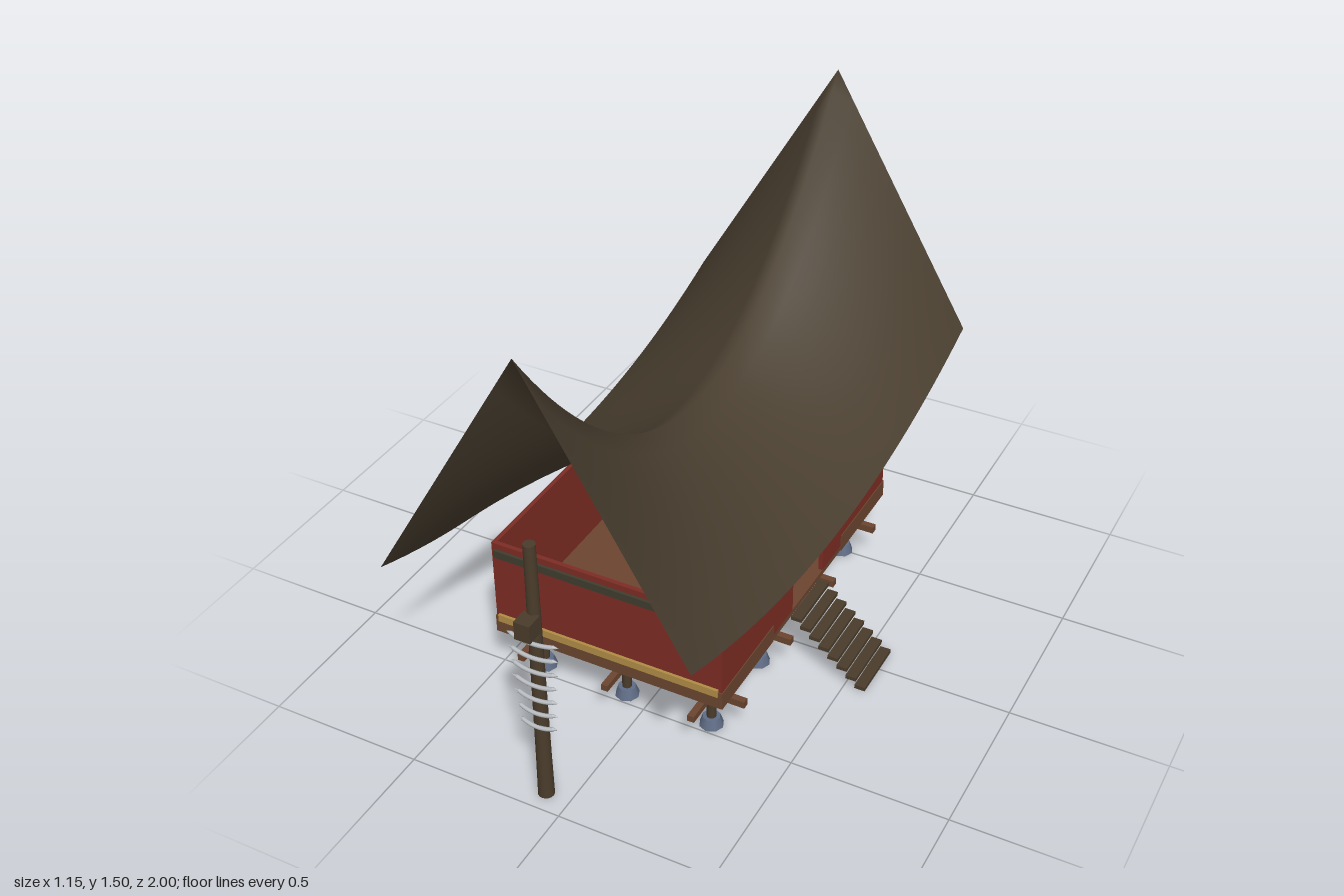
import * as THREE from 'three';

const mat = (name, color, side = THREE.FrontSide) => {
  const m = new THREE.MeshStandardMaterial({ color, side });
  m.name = name;
  return m;
};

export function createModel() {
  const thatch = mat('thatch', 0x4a3f30, THREE.DoubleSide);
  const red = mat('red wall', 0x7c2d24);
  const wood = mat('brown wood', 0x6b4530);
  const dark = mat('dark wood', 0x4a3c2b);
  const olive = mat('dark olive trim', 0x3f3d2e);
  const yellow = mat('ochre trim', 0xb08d45);
  const stone = mat('blue grey stone', 0x5f6c85);
  const horn = mat('pale horn', 0xb8bcc0);

  const model = new THREE.Group();
  model.name = 'stiltHouse';
  const group = (name) => {
    const g = new THREE.Group();
    g.name = name;
    model.add(g);
    return g;
  };
  const add = (parent, name, geo, material, x = 0, y = 0, z = 0) => {
    const m = new THREE.Mesh(geo, material);
    m.name = name;
    m.position.set(x, y, z);
    parent.add(m);
    return m;
  };
  // box given by its minimum and maximum corners
  const box = (parent, name, material, x0, x1, y0, y1, z0, z1) =>
    add(parent, name, new THREE.BoxGeometry(x1 - x0, y1 - y0, z1 - z0), material,
      (x0 + x1) / 2, (y0 + y1) / 2, (z0 + z1) / 2);

  const CX = -0.08, CZ = -0.02;
  const X0 = -0.465, X1 = 0.305, Z0 = -0.61, Z1 = 0.57;

  // Saddle roof: straight slopes between a curved ridge and curved eaves
  const roofGeo = new THREE.PlaneGeometry(2, 2, 16, 48);
  const p = roofGeo.attributes.position;
  for (let i = 0; i < p.count; i++) {
    const s = p.getX(i), t = -p.getY(i);
    const ridge = 0.805 + 0.695 * t * t;
    const eave = 0.49 + 0.175 * t * t;
    p.setXYZ(i, -0.0825 + 0.4925 * s, ridge + (eave - ridge) * Math.abs(s), -0.025 + 0.975 * t);
  }
  roofGeo.computeVertexNormals();
  add(model, 'roof', roofGeo, thatch);

  // Stilts on stone feet, tied by crossing beams
  const stilts = group('stilts');
  const xs = [-0.375, CX, 0.213], zs = [0.458, 0.139, -0.18, -0.5];
  const postGeo = new THREE.CylinderGeometry(0.015, 0.015, 0.165, 12);
  const footGeo = new THREE.CylinderGeometry(0.028, 0.039, 0.033, 8);
  for (const x of xs) {
    for (const z of zs) {
      add(stilts, 'post', postGeo, dark, x, 0.1125, z);
      add(stilts, 'foot', footGeo, stone, x, 0.0165, z);
    }
    box(stilts, 'lengthBeam', wood, x - 0.011, x + 0.011, 0.118, 0.14, -0.635, 0.592);
  }
  for (const z of zs) {
    box(stilts, 'crossBeam', wood, -0.49, 0.328, 0.117, 0.141, z - 0.011, z + 0.011);
  }

  // Open-topped room with a doorway on the left side
  const room = group('room');
  const T = 0.014, YB = 0.208, YT = 0.53, D0 = -0.13, D1 = 0.09;
  box(room, 'floor', wood, X0, X1, 0.19, YB, Z0, Z1);
  box(room, 'frontWall', red, X0, X1, YB, YT, Z1 - T, Z1);
  box(room, 'backWall', red, X0, X1, YB, YT, Z0, Z0 + T);
  box(room, 'rightWall', red, X0, X0 + T, YB, YT, Z0 + T, Z1 - T);
  box(room, 'leftWallBack', red, X1 - T, X1, YB, YT, Z0 + T, D0);
  box(room, 'leftWallFront', red, X1 - T, X1, YB, YT, D1, Z1 - T);
  box(room, 'lintel', yellow, X1 - T, X1, 0.482, YT, D0, D1);

  // Skirting and trim
  const S = 0.003, YS = 0.25;
  box(room, 'frontSkirt', wood, X0, X1, 0.19, YS, Z1, Z1 + S);
  box(room, 'backSkirt', wood, X0, X1, 0.19, YS, Z0 - S, Z0);
  box(room, 'rightSkirt', wood, X0 - S, X0, 0.19, YS, Z0 - S, Z1 + S);
  box(room, 'leftSkirtBack', wood, X1, X1 + S, 0.19, YS, Z0 - S, -0.27);
  box(room, 'leftSkirtFront', wood, X1, X1 + S, 0.19, YS, 0.23, Z1 + S);
  box(room, 'lowerTrim', yellow, -0.455, 0.295, 0.236, 0.261, Z1, Z1 + 0.0095);
  box(room, 'upperTrim', olive, -0.455, 0.295, 0.483, 0.509, Z1, Z1 + 0.0095);

  // Hearth in the middle of the floor
  add(room, 'hearth', new THREE.CylinderGeometry(0.072, 0.055, 0.026, 12), stone, CX, 0.221, CZ);

  // Floating treads up to the door
  const stairs = group('stairs');
  const treadGeo = new THREE.BoxGeometry(0.035, 0.013, 0.204);
  for (let i = 0; i < 8; i++) {
    add(stairs, 'tread', treadGeo, dark, 0.333 + i * 0.0316, 0.204 - i * 0.0271, 0.021);
  }

  // Front pole with a carved block and a stack of horns
  const pole = group('frontPole');
  const PZ = 0.935;
  add(pole, 'lowerPole', new THREE.CylinderGeometry(0.023, 0.025, 0.16, 16), dark, CX, 0.08, PZ);
  add(pole, 'upperPole', new THREE.CylinderGeometry(0.018, 0.023, 0.755, 16), dark, CX, 0.5375, PZ);
  box(pole, 'carvedBlock', dark, CX - 0.025, CX + 0.025, 0.625, 0.685, 0.945, 1);
  for (let i = 0; i < 7; i++) {
    const half = 0.049 + i * 0.003;
    const curve = new THREE.QuadraticBezierCurve3(
      new THREE.Vector3(-half, 0.006, 0),
      new THREE.Vector3(0, -0.006, 0.012),
      new THREE.Vector3(half, 0.006, 0));
    add(pole, 'horns', new THREE.TubeGeometry(curve, 12, 0.0065, 8), horn, CX, 0.28 + i * 0.0515, 0.954);
    for (const s of [-1, 1]) {
      const tip = add(pole, 'hornTip', new THREE.ConeGeometry(0.0065, 0.018, 8), horn,
        CX + s * (half + 0.008), 0.287 + i * 0.0515, 0.953);
      tip.rotation.z = -s * 1.4;
    }
  }

  return model;
}
